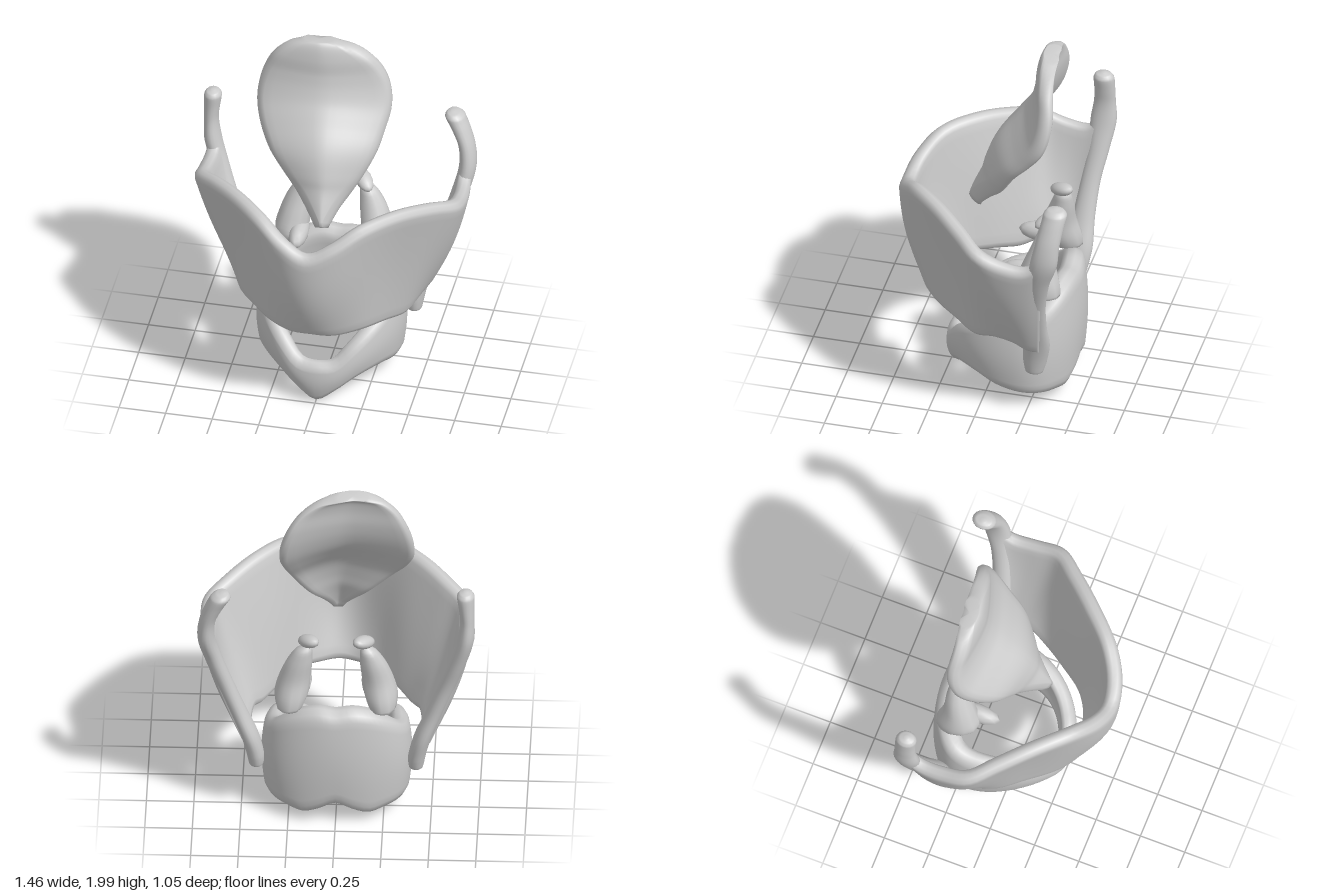
import * as THREE from 'three';

const V = (x, y, z) => new THREE.Vector3(x, y, z);
const material = new THREE.MeshStandardMaterial({ color: 0xcccccc });

// Skin a series of equal-length point rings; open series get end caps.
function loft(rings, closed) {
  const n = rings[0].length, m = rings.length;
  const pts = rings.flat(), index = [];
  for (let i = 0; i < (closed ? m : m - 1); i++) {
    for (let j = 0; j < n; j++) {
      const a = i * n + j, b = i * n + (j + 1) % n;
      const c = ((i + 1) % m) * n + j, d = ((i + 1) % m) * n + (j + 1) % n;
      index.push(a, c, b, b, c, d);
    }
  }
  if (!closed) {
    for (const [i, flip] of [[0, false], [m - 1, true]]) {
      const mid = rings[i].reduce((s, p) => s.add(p), V(0, 0, 0)).divideScalar(n);
      const k = pts.push(mid) - 1;
      for (let j = 0; j < n; j++) {
        const a = i * n + j, b = i * n + (j + 1) % n;
        index.push(k, ...(flip ? [b, a] : [a, b]));
      }
    }
  }
  // Turn the faces outward if the enclosed volume is negative.
  let volume = 0;
  for (let i = 0; i < index.length; i += 3) {
    volume += pts[index[i]].dot(V(0, 0, 0).crossVectors(pts[index[i + 1]], pts[index[i + 2]]));
  }
  if (volume < 0) index.reverse();
  const g = new THREE.BufferGeometry().setFromPoints(pts);
  g.setIndex(index);
  g.computeVertexNormals();
  return g;
}

// Thick curved plate between two edge curves, with rounded rims.
function plate(edgeA, edgeB, steps, thickness, bulge, closed = false) {
  const A = new THREE.CatmullRomCurve3(edgeA, closed);
  const B = new THREE.CatmullRomCurve3(edgeB, closed);
  const rings = [];
  const wrap = t => closed ? (t + 1) % 1 : Math.min(1, Math.max(0, t));
  for (let i = 0; i < steps; i++) {
    const t = closed ? i / steps : i / (steps - 1);
    const a = A.getPoint(t), b = B.getPoint(t), across = b.clone().sub(a);
    const middle = s => A.getPoint(wrap(s)).add(B.getPoint(wrap(s)));
    const normal = middle(t + 0.01).sub(middle(t - 0.01)).cross(across).normalize();
    const h = thickness(t) / 2, r = Math.min(0.4, h / across.length());
    const ring = [];
    const put = (v, o) => ring.push(a.clone().addScaledVector(across, v)
      .addScaledVector(normal, o * h + bulge(t, v)));
    for (const side of [1, -1]) {
      const at = v => side > 0 ? v : 1 - v;
      for (let k = 0; k <= 14; k++) put(at(r + (1 - 2 * r) * k / 14), side);
      for (let k = 1; k < 5; k++) {
        const w = Math.PI * k / 5;
        put(at(1 - r + r * Math.sin(w)), side * Math.cos(w));
      }
    }
    rings.push(ring);
  }
  return loft(rings, closed);
}

// Organic stalk: sections are [x, y, z, radiusX, radiusZ] from bottom to top.
function stalk(sections, sides, steps) {
  const path = new THREE.CatmullRomCurve3(sections.map(s => V(s[0], s[1], s[2])));
  const radii = new THREE.CatmullRomCurve3(sections.map(s => V(s[3], 0, s[4])));
  const rings = [];
  for (let i = 0; i <= steps; i++) {
    const p = path.getPoint(i / steps), r = radii.getPoint(i / steps);
    rings.push(Array.from({ length: sides }, (_, j) => {
      const w = j / sides * Math.PI * 2;
      return V(p.x + Math.max(0.004, r.x) * Math.cos(w), p.y, p.z + Math.max(0.004, r.z) * Math.sin(w));
    }));
  }
  return loft(rings, false);
}

export function createModel() {
  const model = new THREE.Group();
  const add = (name, geometry) => {
    const mesh = new THREE.Mesh(geometry, material);
    mesh.name = name;
    model.add(mesh);
    return mesh;
  };

  // Shield plate: [top x, y, z, bottom x, y, z] from the front midline to the rear edge
  const half = [
    [0, 1.14, 0.485, 0, 0.54, 0.335], [0.13, 1.2, 0.46, 0.1, 0.53, 0.32],
    [0.27, 1.28, 0.375, 0.22, 0.53, 0.25], [0.43, 1.29, 0.22, 0.33, 0.51, 0.11],
    [0.58, 1.25, 0.06, 0.41, 0.49, -0.01], [0.68, 1.2, -0.06, 0.455, 0.53, -0.13],
    [0.69, 1.15, -0.2, 0.47, 0.52, -0.22], [0.685, 1.14, -0.32, 0.465, 0.48, -0.28],
    [0.68, 1.2, -0.41, 0.455, 0.46, -0.34],
  ];
  const bothSides = k => [...half.slice(1).reverse().map(s => V(-s[k], s[k + 1], s[k + 2])),
    ...half.map(s => V(s[k], s[k + 1], s[k + 2]))];
  // The midline and rear bulge outward, the panels between stay slightly hollow.
  const shieldBulge = u => 0.012 + 0.03 * Math.cos(2.5 * Math.PI * u) * (1 - 0.6 * u);
  add('shieldPlate', plate(bothSides(3), bothSides(0), 73,
    t => 0.085 - 0.02 * Math.abs(2 * t - 1) ** 8,
    (t, v) => shieldBulge(Math.abs(2 * t - 1)) * Math.sin(Math.PI * v)));

  // Rear borders of the shield, running from the lower horn tip to the upper horn tip
  const border = [
    [0.42, 0.285, -0.305, 0.01, 0.015], [0.42, 0.305, -0.305, 0.038, 0.048], [0.425, 0.37, -0.31, 0.046, 0.063],
    [0.455, 0.5, -0.325, 0.047, 0.072], [0.515, 0.66, -0.335, 0.045, 0.06], [0.585, 0.85, -0.355, 0.045, 0.053],
    [0.645, 1.03, -0.385, 0.046, 0.058],
  ];
  const upperHorns = {
    left: [[0.68, 1.18, -0.42, 0.046, 0.073], [0.672, 1.3, -0.438, 0.044, 0.066], [0.635, 1.4, -0.455, 0.05, 0.064],
      [0.605, 1.46, -0.465, 0.054, 0.064], [0.595, 1.485, -0.465, 0.035, 0.045], [0.59, 1.493, -0.465, 0.01, 0.01]],
    right: [[0.685, 1.18, -0.4, 0.045, 0.07], [0.694, 1.3, -0.405, 0.038, 0.058], [0.69, 1.38, -0.405, 0.042, 0.056],
      [0.685, 1.45, -0.402, 0.047, 0.056], [0.685, 1.475, -0.4, 0.035, 0.042], [0.685, 1.486, -0.4, 0.01, 0.01]],
  };
  for (const [side, s] of [['left', 1], ['right', -1]]) {
    add(side + 'HornedBorder', stalk([...border, ...upperHorns[side]]
      .map(([x, ...rest]) => [x * s, ...rest]), 18, 60));
  }

  // Leaf-shaped flap: [y, left x, right x, rim z], keeled and slightly twisted
  const leaf = [
    [1.05, -0.03, 0.04, 0.11], [1.14, -0.1, 0.09, 0.04], [1.22, -0.17, 0.15, -0.02],
    [1.3, -0.24, 0.2, -0.06], [1.4, -0.32, 0.25, -0.11], [1.5, -0.38, 0.28, -0.19],
    [1.6, -0.41, 0.3, -0.26], [1.7, -0.405, 0.29, -0.295], [1.8, -0.375, 0.255, -0.305],
    [1.89, -0.325, 0.195, -0.295], [1.955, -0.255, 0.105, -0.29], [1.99, -0.17, -0.01, -0.295],
  ];
  const rim = k => leaf.map(s => V(s[k], s[0], s[3] - 0.1 * s[k]));
  add('leafFlap', plate(rim(2), rim(1), 50,
    () => 0.08,
    (t, v) => (0.015 + 0.085 * Math.sin(Math.PI * t ** 0.8)) * (1 - Math.abs(2 * v - 1) ** 1.5)));

  // Base ring: [degrees from the front, top y, bottom y], low in front and tall behind
  const ringHalf = [[0, 0.26, 0.005], [15, 0.27, 0.065], [30, 0.35, 0.125], [45, 0.42, 0.15], [60, 0.475, 0.145],
    [75, 0.51, 0.115], [90, 0.53, 0.095], [105, 0.56, 0.085], [120, 0.61, 0.075], [135, 0.66, 0.065],
    [150, 0.7, 0.05], [165, 0.72, 0.08], [180, 0.71, 0.12]];
  const ringAll = [...ringHalf, ...ringHalf.slice(1, -1).reverse().map(([d, a, b]) => [360 - d, a, b])];
  const ringEdge = (k, rx, front) => ringAll.map(s => {
    const w = s[0] * Math.PI / 180, c = Math.cos(w);
    return V(rx * Math.sin(w), s[k], -0.18 + (c > 0 ? front * c : -0.205 * Math.abs(c) ** 0.8));
  });
  add('baseRing', plate(ringEdge(2, 0.325, 0.375), ringEdge(1, 0.325, 0.4), 72,
    t => 0.075 + 0.05 * Math.sin(Math.PI * t) ** 2,
    (t, v) => 0.022 * Math.sin(Math.PI * v), true));

  // Paired pyramids on the rear of the ring, each with a forward spur and a tip nodule
  for (const [side, s] of [['left', 1], ['right', -1]]) {
    add(side + 'Pyramid', stalk([[0.25, 0.66, -0.32, 0.02, 0.02], [0.245, 0.68, -0.31, 0.07, 0.09],
      [0.235, 0.75, -0.28, 0.09, 0.115], [0.22, 0.84, -0.28, 0.085, 0.09], [0.195, 0.95, -0.3, 0.07, 0.065],
      [0.17, 1.03, -0.31, 0.045, 0.045], [0.15, 1.07, -0.31, 0.01, 0.01]]
      .map(([x, ...rest]) => [x * s, ...rest]), 12, 24));
    const spur = add(side + 'Spur', new THREE.SphereGeometry(1, 12, 8));
    spur.scale.set(0.05, 0.055, 0.13);
    spur.position.set(0.18 * s, 0.77, -0.2);
    const tip = add(side + 'TipNodule', new THREE.SphereGeometry(1, 14, 10));
    tip.scale.set(0.08, 0.035, 0.045);
    tip.position.set(0.145 * s, 1.085, -0.31);
    tip.rotation.set(0, -0.96 * s, -0.35 * s);
  }
  return model;
}
